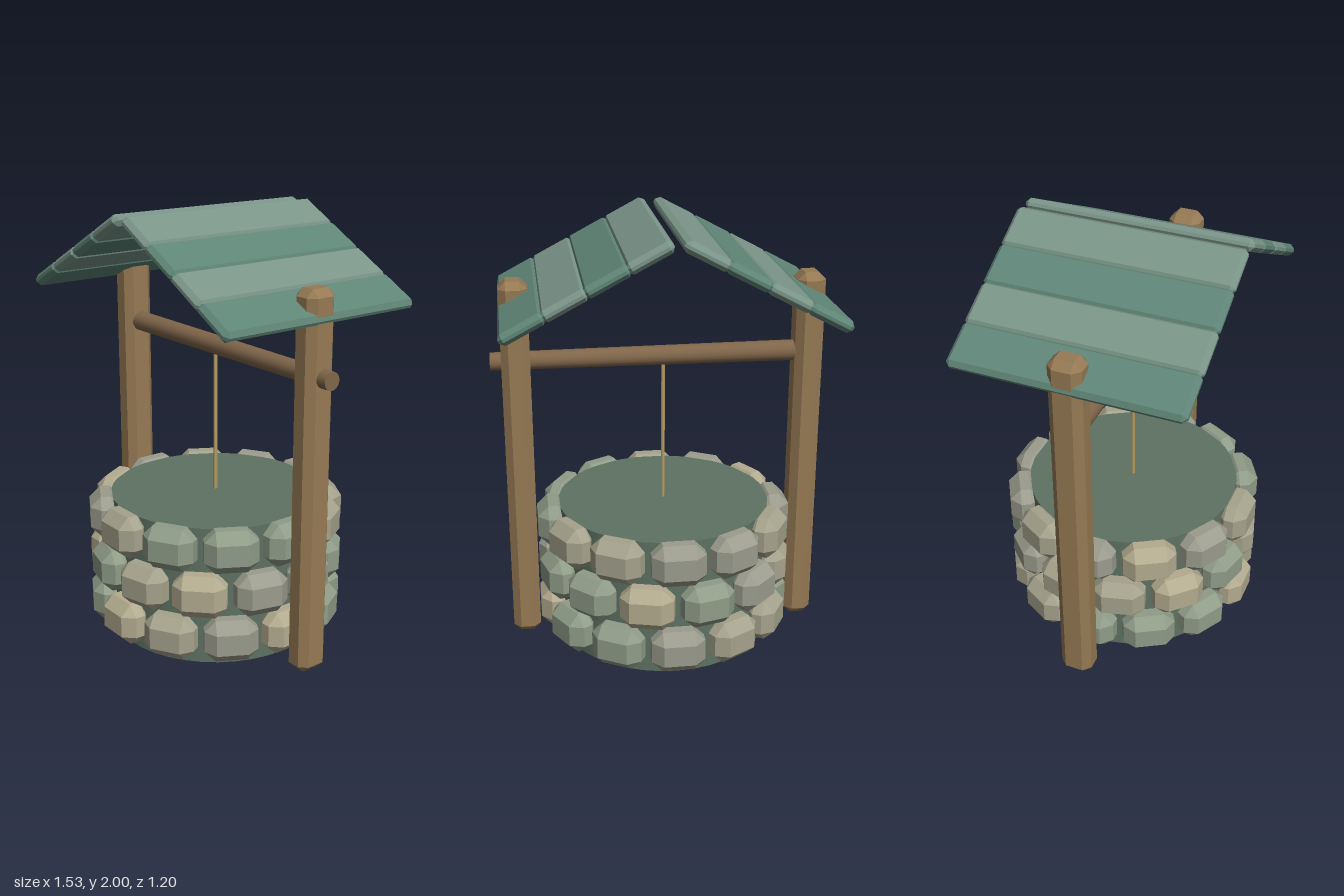
import * as THREE from 'three';
import { ConvexGeometry } from 'three/addons/geometries/ConvexGeometry.js';

const CX = -0.022; // axis of the well shaft

const paint = (color) => new THREE.MeshStandardMaterial({ color, flatShading: true });
const wood = paint(0x967a54);
const axleWood = paint(0x80664a);
const ropeTan = paint(0xb39c62);
const mortar = paint(0x5e7263);
const planks = [paint(0x7a9488), paint(0x5f8577)];
const stones = [paint(0xb3ab8f), paint(0x9b9c8d), paint(0x8f9c88), paint(0xa5a28c)];

// Box with every edge cut by a flat chamfer c
function chamferBox(w, h, d, c) {
  const points = [];
  const [x, y, z] = [w / 2, h / 2, d / 2];
  for (const sx of [-1, 1]) for (const sy of [-1, 1]) for (const sz of [-1, 1]) {
    points.push(
      new THREE.Vector3(sx * x, sy * (y - c), sz * (z - c)),
      new THREE.Vector3(sx * (x - c), sy * y, sz * (z - c)),
      new THREE.Vector3(sx * (x - c), sy * (y - c), sz * z),
    );
  }
  return new ConvexGeometry(points);
}

function add(parent, name, geometry, material, x = 0, y = 0, z = 0) {
  const mesh = new THREE.Mesh(geometry, material);
  mesh.name = name;
  mesh.position.set(x, y, z);
  parent.add(mesh);
  return mesh;
}

export function createModel() {
  const well = new THREE.Group();
  well.name = 'well';

  // Solid shaft
  const shaftMaterial = mortar.clone();
  shaftMaterial.flatShading = false;
  add(well, 'shaft', new THREE.CylinderGeometry(0.5, 0.5, 0.66, 40), shaftMaterial, CX, 0.33, 0);

  // Three staggered rings of twelve stones
  const stoneGeometry = chamferBox(0.245, 0.2, 0.147, 0.05);
  let seed = 7;
  const pick = (n) => {
    seed = (seed * 16807) % 2147483647;
    return Math.floor((seed / 2147483647) * n);
  };
  [0.137, 0.353, 0.57].forEach((y, row) => {
    const ring = new THREE.Group();
    ring.name = `stoneRing${row + 1}`;
    ring.position.set(CX, y, 0);
    for (let i = 0; i < 12; i++) {
      const a = ((i + (row % 2) / 2) / 12) * Math.PI * 2;
      const stone = add(ring, 'stone', stoneGeometry, stones[pick(stones.length)],
        Math.sin(a) * 0.528, 0, Math.cos(a) * 0.528);
      stone.rotation.y = a;
    }
    well.add(ring);
  });

  // Posts
  const postGeometry = chamferBox(0.13, 1.745, 0.152, 0.034);
  add(well, 'rightPost', postGeometry, wood, -0.695, 0.8725, 0);
  add(well, 'leftPost', postGeometry, wood, 0.65, 0.8725, 0);

  // Axle, thinner towards the end that passes through the left post
  const axleMaterial = axleWood.clone();
  axleMaterial.flatShading = false;
  const axle = add(well, 'axle', new THREE.CylinderGeometry(0.048, 0.041, 1.405, 20), axleMaterial, 0.0625, 1.37, 0);
  axle.rotation.z = Math.PI / 2;

  // Rope hanging to the top of the shaft
  add(well, 'rope', new THREE.CylinderGeometry(0.009, 0.009, 0.7, 8), ropeTan, CX, 1.0, 0);

  // Two sloping roof panels of four overlapping planks each
  const plankGeometry = chamferBox(0.216, 0.055, 1.04, 0.02);
  for (const side of [-1, 1]) {
    const panel = new THREE.Group();
    panel.name = side < 0 ? 'rightRoof' : 'leftRoof';
    panel.position.set(CX + side * 0.3805, 1.798, 0);
    panel.rotation.z = -side * THREE.MathUtils.degToRad(27.8);
    for (let i = 0; i < 4; i++) {
      add(panel, 'plank', plankGeometry, planks[i % 2], side * (i - 1.5) * 0.198, 0, 0);
    }
    well.add(panel);
  }

  return well;
}
